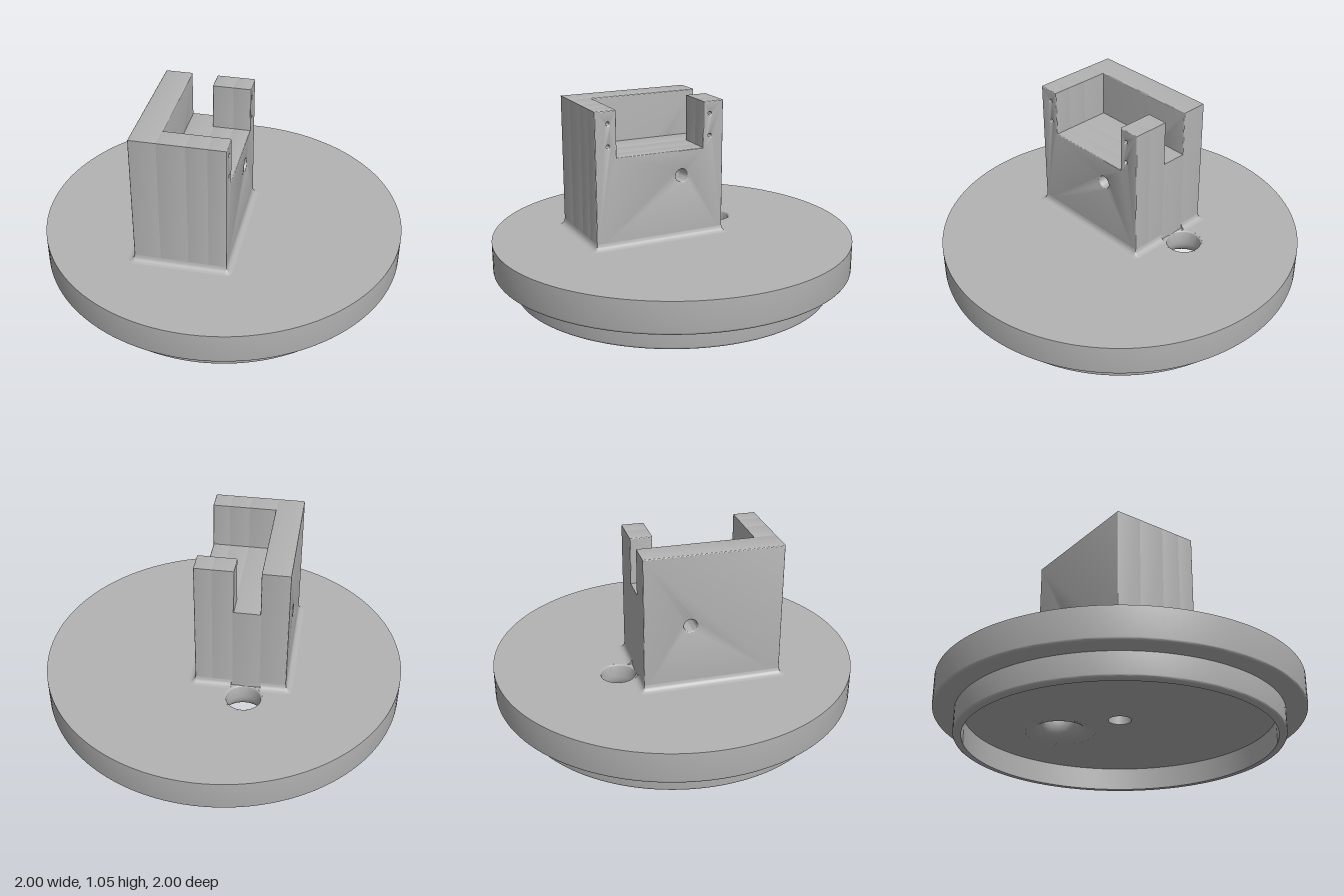
import * as THREE from 'three';
import { toCreasedNormals } from 'three/addons/utils/BufferGeometryUtils.js';

const grey = new THREE.MeshStandardMaterial({ color: 0xb3b3b3 });
grey.name = 'grey';

const DECK = 0.305, CEILING = 0.13, TOP = 1.055, FLOOR = 0.8;
const CABLE = { x: -0.16, z: -0.345 };
const v = (x, y) => new THREE.Vector2(x, y);

function part(group, name, geometry, crease = 0.6) {
  const mesh = new THREE.Mesh(toCreasedNormals(geometry, crease), grey);
  mesh.name = name;
  group.add(mesh);
  return mesh;
}

function circle(x, y, r, Type = THREE.Path) {
  return new Type().absarc(x, y, r, 0, Math.PI * 2, false);
}

// Points on an arc, for rounded corners in lathe profiles
function arc(cx, cy, r, from, to, n = 8) {
  return Array.from({ length: n + 1 }, (_, i) => {
    const a = from + (to - from) * i / n;
    return v(cx + r * Math.cos(a), cy + r * Math.sin(a));
  });
}

// Flat disc with round holes, facing up or down
function disc(radius, y, up, holes) {
  const s = circle(0, 0, radius, THREE.Shape);
  const sign = up ? -1 : 1;
  for (const [x, z, r] of holes) s.holes.push(circle(x, z * sign, r));
  return new THREE.ShapeGeometry(s, 64).rotateX(sign * Math.PI / 2).translate(0, y, 0);
}

// Slice of the block from x0 to x1; outline is in (-z, y)
function slice(outline, holes, x0, x1) {
  const b = 0.005;
  const s = new THREE.Shape(outline.map(([u, y]) => v(u, y)));
  for (const [u, y, r] of holes) s.holes.push(circle(u, y, r));
  return new THREE.ExtrudeGeometry(s, {
    depth: x1 - x0 - 2 * b, bevelEnabled: true, bevelThickness: b, bevelSize: b,
    bevelOffset: -b, bevelSegments: 3, curveSegments: 16,
  }).rotateY(Math.PI / 2).translate(x0 + b, 0, 0);
}

export function createModel() {
  const model = new THREE.Group();
  model.name = 'mountingLid';

  // Round lid: rim, lip, deck and ceiling
  const lid = new THREE.Group();
  lid.name = 'lid';
  model.add(lid);
  const H = Math.PI / 2;
  part(lid, 'rimAndLip', new THREE.LatheGeometry([
    v(0.84, CEILING), v(0.84, 0),
    ...arc(0.87, 0.015, 0.015, -H, 0, 4),
    v(0.885, CEILING),
    ...arc(0.985, CEILING + 0.015, 0.015, -H, 0, 4),
    v(1, DECK),
  ], 128));
  part(lid, 'deck', disc(1, DECK, true, [[CABLE.x, CABLE.z, 0.103]]));
  part(lid, 'ceiling', disc(0.84, CEILING, false, [[CABLE.x, CABLE.z, 0.193], [0, 0, 0.063]]));

  // Cable hole flaring out below, and the central bore
  part(lid, 'cableHole', new THREE.LatheGeometry([
    ...arc(0.103, DECK - 0.01, 0.01, H, Math.PI, 4),
    ...arc(0.193, CEILING + 0.1, 0.1, Math.PI, Math.PI * 1.5, 10),
  ], 48)).position.set(CABLE.x, 0, CABLE.z);
  part(lid, 'centreBore', new THREE.LatheGeometry([v(0.063, DECK), v(0.063, CEILING)], 32));

  // Block with a pocket, made of slices across x
  const block = new THREE.Group();
  block.name = 'block';
  model.add(block);
  const base = DECK - 0.005, F = -0.5, B = 0.25, armU = -0.38, postU = 0.13;
  const cross = [0, 0.66, 0.036];
  const frontArm = [[armU, FLOOR], [armU, TOP], [F, TOP]];
  const full = [[F, base], [B, base], [B, TOP], [F, TOP]];
  const oneArm = [[F, base], [B, base], [B, FLOOR], ...frontArm];
  const twoArms = [[F, base], [B, base], [B, TOP], [postU, TOP], [postU, FLOOR], ...frontArm];
  const screws = [];
  for (const u of [-0.427, 0.17]) for (const y of [0.865, 0.987]) screws.push([u, y, 0.01]);

  part(block, 'backingWall', slice(full, [cross], -0.38, -0.23));
  part(block, 'slotSection', slice(oneArm, [cross], -0.24, -0.08));
  part(block, 'postSection', slice(twoArms, [cross], -0.09, 0.03));
  part(block, 'screwFace', slice(twoArms, [cross, ...screws], 0.02, 0.12));

  // Concave fillet around the foot, interrupted at the cable hole
  const R = 0.035;
  const cove = new THREE.Shape([v(0, 0), ...arc(R, R, R, Math.PI * 1.5, Math.PI, 8)]);
  const runs = [ // start x, start z, length, turn
    [-0.38, 0.5, 0.5, 0], [0.12, 0.5, 0.75, 1], [0.12, -0.25, 0.2, 2],
    [-0.24, -0.25, 0.14, 2], [-0.38, -0.25, 0.75, 3],
  ];
  for (const [x, z, length, turn] of runs) {
    const g = new THREE.ExtrudeGeometry(cove, { depth: length, bevelEnabled: false });
    // profile faces +z and the run goes along +x, then turns about y
    g.rotateY(-H).translate(length, 0, 0);
    part(block, 'footFillet', g).position.set(x, DECK, z);
    block.children.at(-1).rotation.y = turn * H;
  }
  const corners = [[0.12, 0.5, 0], [0.12, -0.25, 1], [-0.38, -0.25, 2], [-0.38, 0.5, 3]];
  for (const [x, z, turn] of corners) {
    const g = new THREE.LatheGeometry(arc(R, R, R, Math.PI * 1.5, Math.PI, 8), 8, turn * H, H);
    part(block, 'footCorner', g).position.set(x, DECK, z);
  }
  return model;
}
